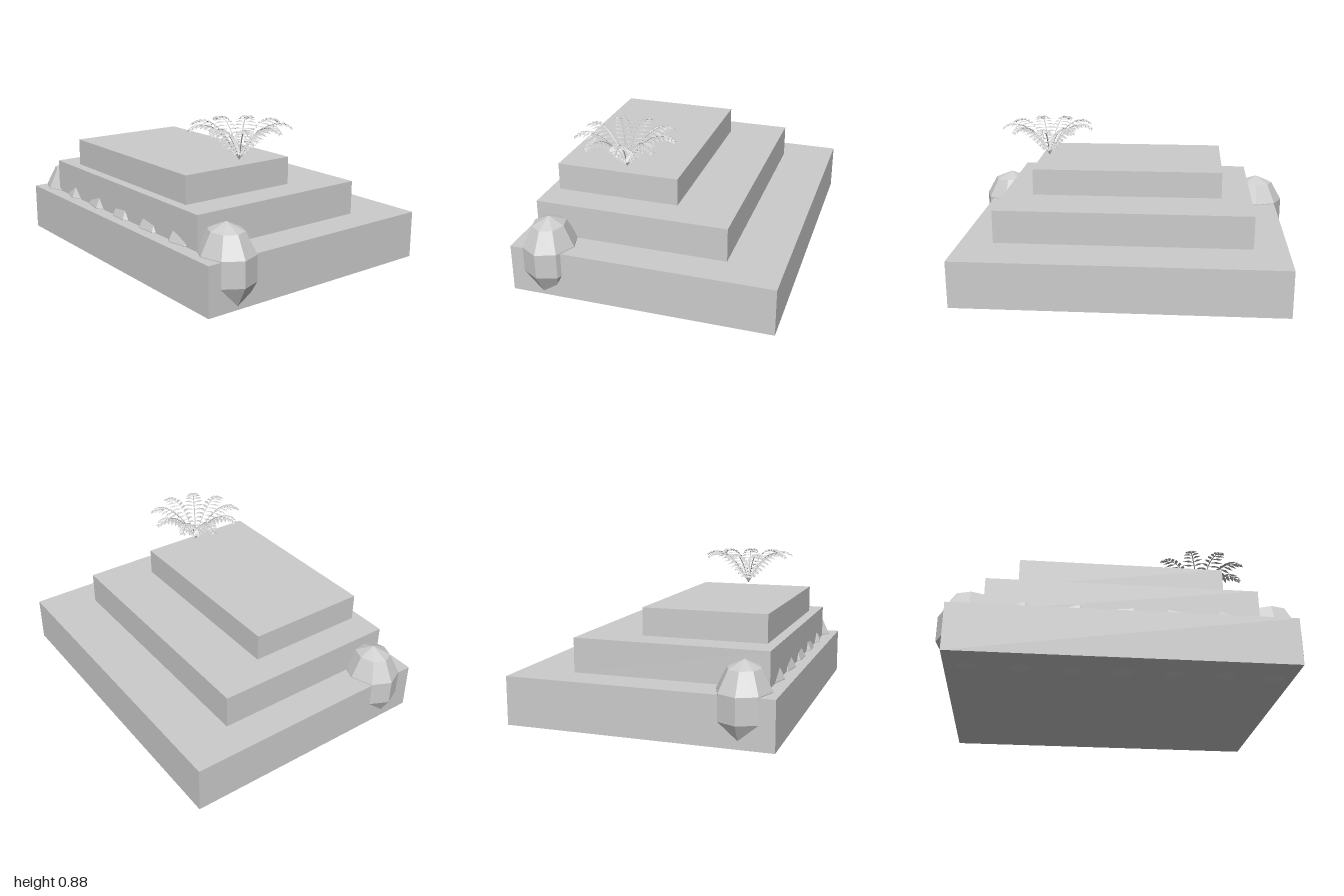
import * as THREE from 'three';

export function createModel() {
  const model = new THREE.Group();
  const stone = new THREE.MeshStandardMaterial({ color: 0xcccccc, flatShading: true });
  stone.name = 'grey stone';
  const leaf = stone.clone();
  leaf.name = 'grey leaf';
  leaf.side = THREE.DoubleSide;

  const add = (parent, name, geometry, material) => {
    const mesh = new THREE.Mesh(geometry, material);
    mesh.name = name;
    parent.add(mesh);
    return mesh;
  };

  // Three stepped slabs: x, y and z ranges
  const slab = (name, x0, x1, y0, y1, z0, z1) =>
    add(model, name, new THREE.BoxGeometry(x1 - x0, y1 - y0, z1 - z0), stone)
      .position.set((x0 + x1) / 2, (y0 + y1) / 2, (z0 + z1) / 2);
  slab('bottomSlab', -0.95, 0.935, 0.028, 0.302, -0.747, 0.745);
  slab('middleSlab', -0.755, 0.74, 0.302, 0.497, -0.435, 0.668);
  slab('topSlab', -0.578, 0.56, 0.497, 0.655, -0.1, 0.61);

  // Row of faceted boulders half sunk into the front edge
  for (let i = 0; i < 7; i++) {
    const end = i === 0 || i === 6;
    const geometry = new THREE.SphereGeometry(1, 8, 5);
    geometry.rotateY(i * 0.9);
    geometry.scale(end ? 0.182 : 0.165, 0.232, end ? 0.157 : 0.152);
    add(model, 'boulder' + (i + 1), geometry, stone)
      .position.set((i - 3) * 0.276, 0.235, 0.553);
  }

  // Fern: nine arching fronds round a common root
  const fern = new THREE.Group();
  fern.name = 'fern';
  fern.position.set(0.505, 0.675, 0.212);
  model.add(fern);

  const spine = new THREE.CatmullRomCurve3([
    [0, 0], [0.045, 0.075], [0.1, 0.145], [0.16, 0.19], [0.22, 0.2], [0.278, 0.177],
  ].map(([r, y]) => new THREE.Vector3(r, y, 0)));
  const stemGeometry = new THREE.TubeGeometry(spine, 12, 0.003, 4);

  // Paired leaflets, each a folded diamond swept towards the frond tip
  const points = [];
  const pairs = 13;
  for (let i = 0; i < pairs; i++) {
    const t = 0.14 + (0.83 * i) / (pairs - 1);
    const p = spine.getPointAt(t);
    const length = 0.018 + 0.06 * Math.sin(Math.PI * Math.pow(t, 1.15));
    const sweep = 0.25 + 0.65 * t;
    const width = 0.011;
    for (const side of [1, -1]) {
      const dx = Math.sin(sweep), dz = Math.cos(sweep) * side;
      const at = (along, across, y) =>
        [p.x + dx * along - dz * across, p.y + y, p.z + dz * along + dx * across];
      const root = at(0, 0, 0), tip = at(length, 0, -0.014);
      const a = at(length * 0.5, width, -0.003), b = at(length * 0.5, -width, -0.003);
      const ridge = at(length * 0.55, 0, 0.003);
      for (const tri of [[root, a, ridge], [a, tip, ridge], [tip, b, ridge], [b, root, ridge]]) {
        if (side > 0) tri.reverse();
        points.push(...tri.flat());
      }
    }
  }
  const leafletGeometry = new THREE.BufferGeometry();
  leafletGeometry.setAttribute('position', new THREE.Float32BufferAttribute(points, 3));
  leafletGeometry.computeVertexNormals();

  for (let i = 0; i < 9; i++) {
    const frond = new THREE.Group();
    frond.name = 'frond' + (i + 1);
    frond.rotation.y = Math.PI / 2 + (i * Math.PI * 2) / 9;
    add(frond, 'stem', stemGeometry, stone);
    add(frond, 'leaflets', leafletGeometry, leaf);
    fern.add(frond);
  }
  return model;
}
